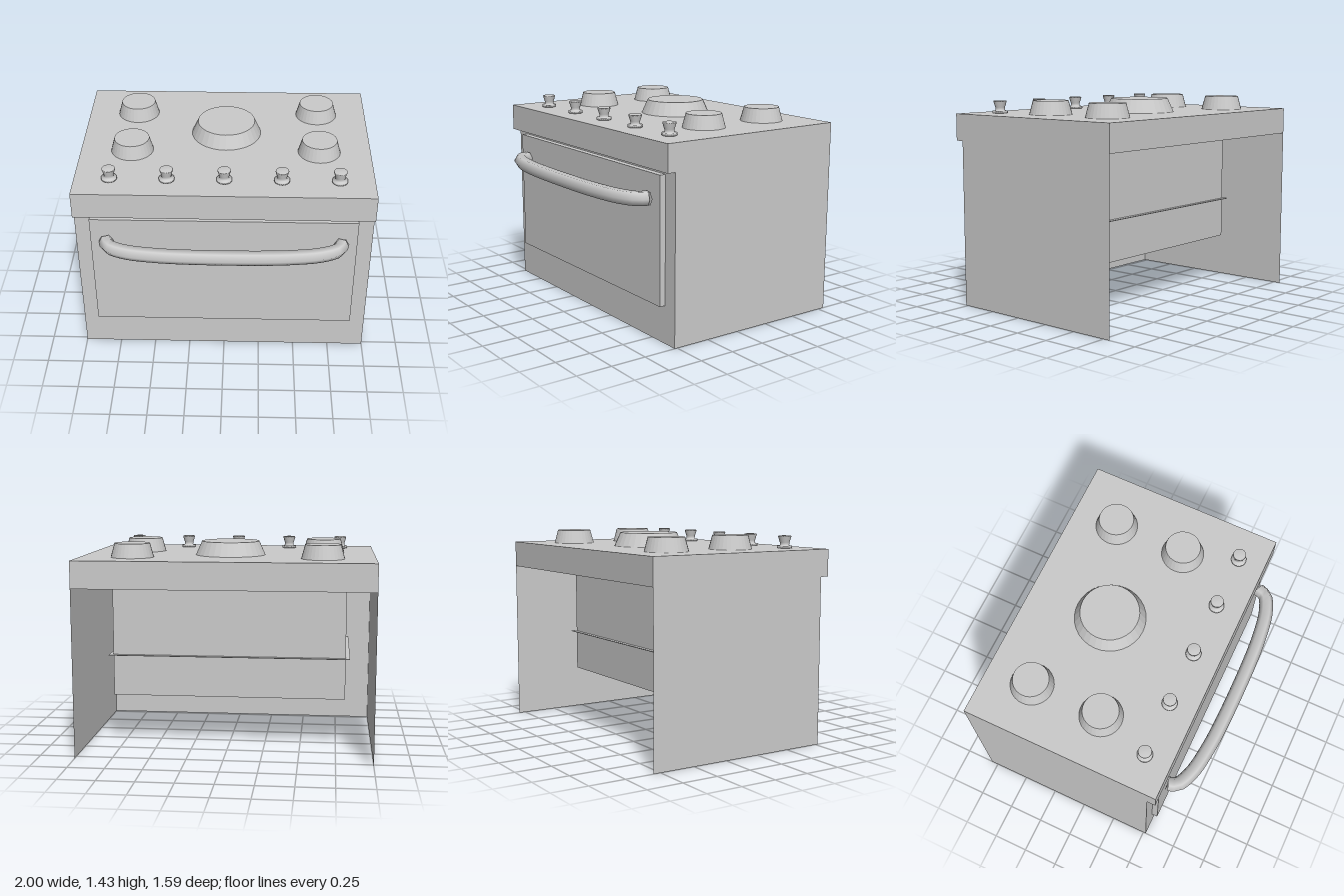
import * as THREE from 'three';
import { ParametricGeometry } from 'three/addons/geometries/ParametricGeometry.js';

const solid = new THREE.MeshStandardMaterial({ color: 0xcccccc });
const faceted = new THREE.MeshStandardMaterial({ color: 0xcccccc, flatShading: true });
const sheet = new THREE.MeshStandardMaterial({ color: 0xcccccc, side: THREE.DoubleSide });

const TOP = 1.335, FRONT = 0.52, BACK = -0.8;

export function createModel() {
  const model = new THREE.Group();
  model.name = 'stove';

  function add(name, geometry, material, x = 0, y = 0, z = 0, parent = model) {
    const mesh = new THREE.Mesh(geometry, material);
    mesh.name = name;
    mesh.position.set(x, y, z);
    parent.add(mesh);
    return mesh;
  }

  // Box given by its minimum and maximum corners
  function addBox(name, [x0, y0, z0], [x1, y1, z1]) {
    return add(name, new THREE.BoxGeometry(x1 - x0, y1 - y0, z1 - z0), solid,
      (x0 + x1) / 2, (y0 + y1) / 2, (z0 + z1) / 2);
  }

  // Thin sheet shell: front, overhanging lip, hob top and short back apron as [z, y]
  const profile = [[FRONT, 0], [FRONT, 1.15], [0.58, 1.15], [0.58, TOP], [BACK, TOP], [BACK, 1.15]];
  const panelNames = ['frontPanel', 'lipUnderside', 'lipFront', 'hobTop', 'backApron'];
  panelNames.forEach((name, i) => {
    const [z0, y0] = profile[i], [z1, y1] = profile[i + 1];
    const panel = add(name, new THREE.PlaneGeometry(2, Math.hypot(z1 - z0, y1 - y0)), sheet,
      0, (y0 + y1) / 2, (z0 + z1) / 2);
    panel.rotation.x = Math.atan2(z1 - z0, y1 - y0);
  });

  // Side walls follow the same profile, down to the floor at the back
  const outline = [...profile.slice(0, 5), [BACK, 0]].map(([z, y]) => new THREE.Vector2(-z, y));
  for (const side of [-1, 1]) {
    const wall = add(side > 0 ? 'leftWall' : 'rightWall',
      new THREE.ShapeGeometry(new THREE.Shape(outline)), sheet, side);
    wall.rotation.y = Math.PI / 2;
  }

  // Oven chamber inside, with a rack just wider than it
  addBox('ovenChamber', [-0.81, 0.35, -0.385], [0.81, 1.11, FRONT]);
  addBox('ovenRack', [-0.84, 0.635, -0.415], [0.84, 0.64, FRONT - 0.01]);

  // Door
  addBox('ovenDoor', [-0.895, 0.26, FRONT], [0.895, 1.12, 0.562]);

  // Bowed six-sided door handle
  const half = [[0.79, 0.58], [0.765, 0.64], [0.65, 0.695], [0.45, 0.727], [0.22, 0.74]];
  const path = new THREE.CatmullRomCurve3([
    ...half.map(([x, z]) => new THREE.Vector3(-x, 0, z)),
    ...half.reverse().map(([x, z]) => new THREE.Vector3(x, 0, z)),
  ]);
  const handle = new THREE.Group();
  handle.name = 'doorHandle';
  handle.position.y = 0.957;
  model.add(handle);
  const R = 0.05;
  const bar = new ParametricGeometry((u, v, target) => {
    const p = path.getPointAt(u), t = path.getTangentAt(u);
    const a = v * Math.PI * 2, out = R * Math.cos(a);
    target.set(p.x - t.z * out, R * Math.sin(a), p.z + t.x * out);
  }, 40, 6);
  add('handleBar', bar, sheet, 0, 0, 0, handle);
  for (const side of [-1, 1]) {
    add('handleEnd', new THREE.CircleGeometry(R, 6), sheet, side * 0.79, 0, 0.58, handle);
  }

  // Burners: four small ones around a large one
  function addBurner(name, x, z, rTop, rBottom) {
    add(name, new THREE.CylinderGeometry(rTop, rBottom, 0.095, 32), faceted, x, TOP + 0.0475, z);
  }
  addBurner('largeBurner', 0, -0.22, 0.2, 0.243);
  for (const x of [-0.645, 0.645]) {
    for (const z of [-0.48, 0.025]) addBurner('smallBurner', x, z, 0.12, 0.146);
  }

  // Row of control knobs
  const knobProfile = [[0, 0], [0.052, 0], [0.052, 0.017], [0.031, 0.019], [0.033, 0.04],
    [0.045, 0.078], [0.043, 0.085], [0, 0.086]].map(([r, y]) => new THREE.Vector2(r, y));
  const knob = new THREE.LatheGeometry(knobProfile, 24);
  for (let i = -2; i <= 2; i++) add('controlKnob', knob, solid, i * 0.382, TOP, 0.395);

  return model;
}
